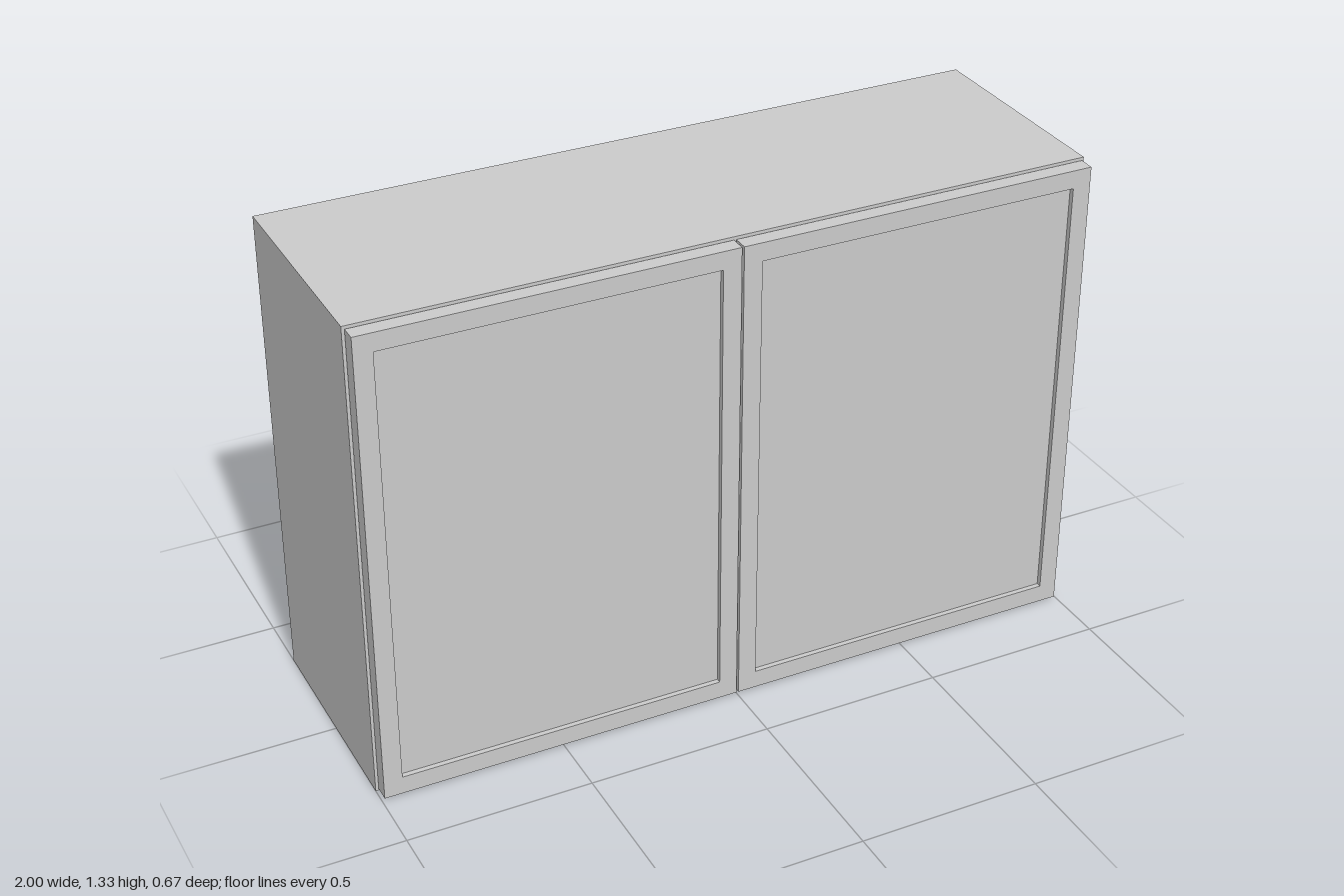
import * as THREE from 'three';

const W = 2, H = 1.333, T = 0.04;
const BACK = -0.333, CASE_FRONT = 0.287, DOOR_BACK = 0.29, FRONT = 0.333;

export function createModel() {
  const group = new THREE.Group();
  const material = new THREE.MeshStandardMaterial({ color: 0xcccccc });

  // Box given by its lower and upper corners
  const board = (name, [x0, y0, z0], [x1, y1, z1], parent = group) => {
    const mesh = new THREE.Mesh(new THREE.BoxGeometry(x1 - x0, y1 - y0, z1 - z0), material);
    mesh.position.set((x0 + x1) / 2, (y0 + y1) / 2, (z0 + z1) / 2);
    mesh.name = name;
    parent.add(mesh);
  };

  // Carcass: sides run full height, other boards fit between them
  const inner = W / 2 - T;
  board('leftSide', [inner, 0, BACK], [W / 2, H, CASE_FRONT]);
  board('rightSide', [-W / 2, 0, BACK], [-inner, H, CASE_FRONT]);
  board('bottomBoard', [-inner, 0, BACK], [inner, T, CASE_FRONT]);
  board('topBoard', [-inner, H - T, BACK], [inner, H, CASE_FRONT]);
  board('backBoard', [-inner, T, BACK], [inner, H - T, BACK + 0.02]);
  board('shelf', [-inner, 0.65, BACK + 0.02], [inner, 0.69, CASE_FRONT - 0.02]);

  // Doors: a frame with a recessed panel
  const rectangle = (Type, x0, y0, x1, y1) => new Type([
    new THREE.Vector2(x0, y0), new THREE.Vector2(x1, y0),
    new THREE.Vector2(x1, y1), new THREE.Vector2(x0, y1),
  ]);
  const w = 0.99, y0 = 0.007, y1 = H - 0.007, rail = 0.05;
  for (const side of [-1, 1]) {
    const door = new THREE.Group();
    door.name = side > 0 ? 'leftDoor' : 'rightDoor';
    const shape = rectangle(THREE.Shape, -w / 2, y0, w / 2, y1);
    shape.holes.push(rectangle(THREE.Path, -w / 2 + rail, y0 + rail, w / 2 - rail, y1 - rail));
    const frame = new THREE.Mesh(
      new THREE.ExtrudeGeometry(shape, { depth: FRONT - DOOR_BACK, bevelEnabled: false }), material);
    frame.position.z = DOOR_BACK;
    frame.name = 'doorFrame';
    door.add(frame);
    board('doorPanel', [-w / 2 + rail, y0 + rail, DOOR_BACK + 0.01],
      [w / 2 - rail, y1 - rail, FRONT - 0.014], door);
    door.position.x = side * (0.003 + w / 2);
    group.add(door);
  }
  return group;
}
